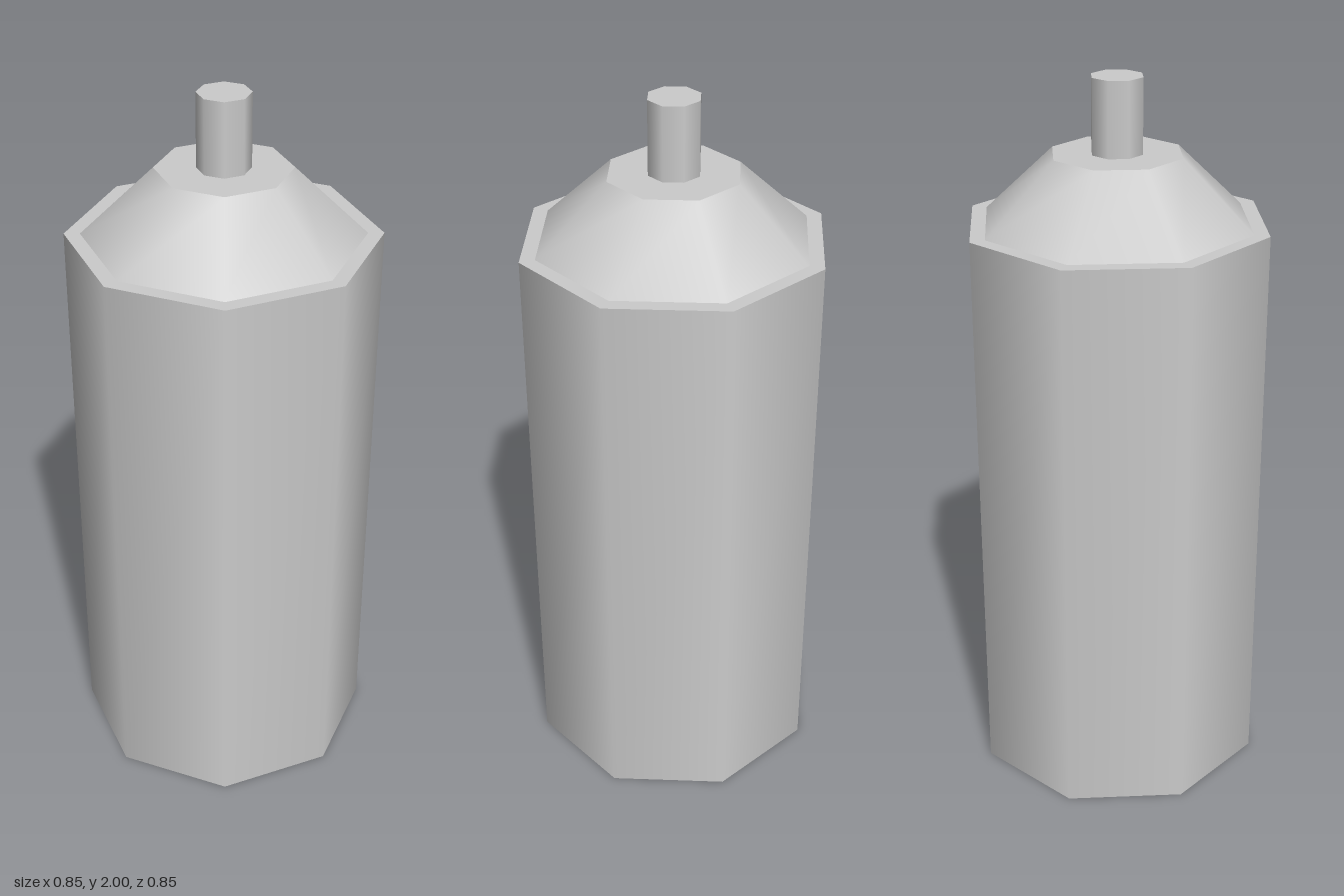
import * as THREE from 'three';

const SIDES = 8;

export function createModel() {
  const model = new THREE.Group();
  model.name = 'sprayCan';
  const material = new THREE.MeshStandardMaterial({ color: 0xcccccc });

  // Capped eight-sided section standing between two heights
  const addSection = (name, bottomRadius, topRadius, y0, y1) => {
    const geometry = new THREE.CylinderGeometry(topRadius, bottomRadius, y1 - y0, SIDES);
    const mesh = new THREE.Mesh(geometry, material);
    mesh.name = name;
    mesh.position.y = (y0 + y1) / 2;
    model.add(mesh);
  };

  addSection('canBody', 0.423, 0.423, 0, 1.61);
  addSection('shoulder', 0.38, 0.183, 1.61, 1.797);
  addSection('nozzle', 0.072, 0.072, 1.797, 2);

  return model;
}
